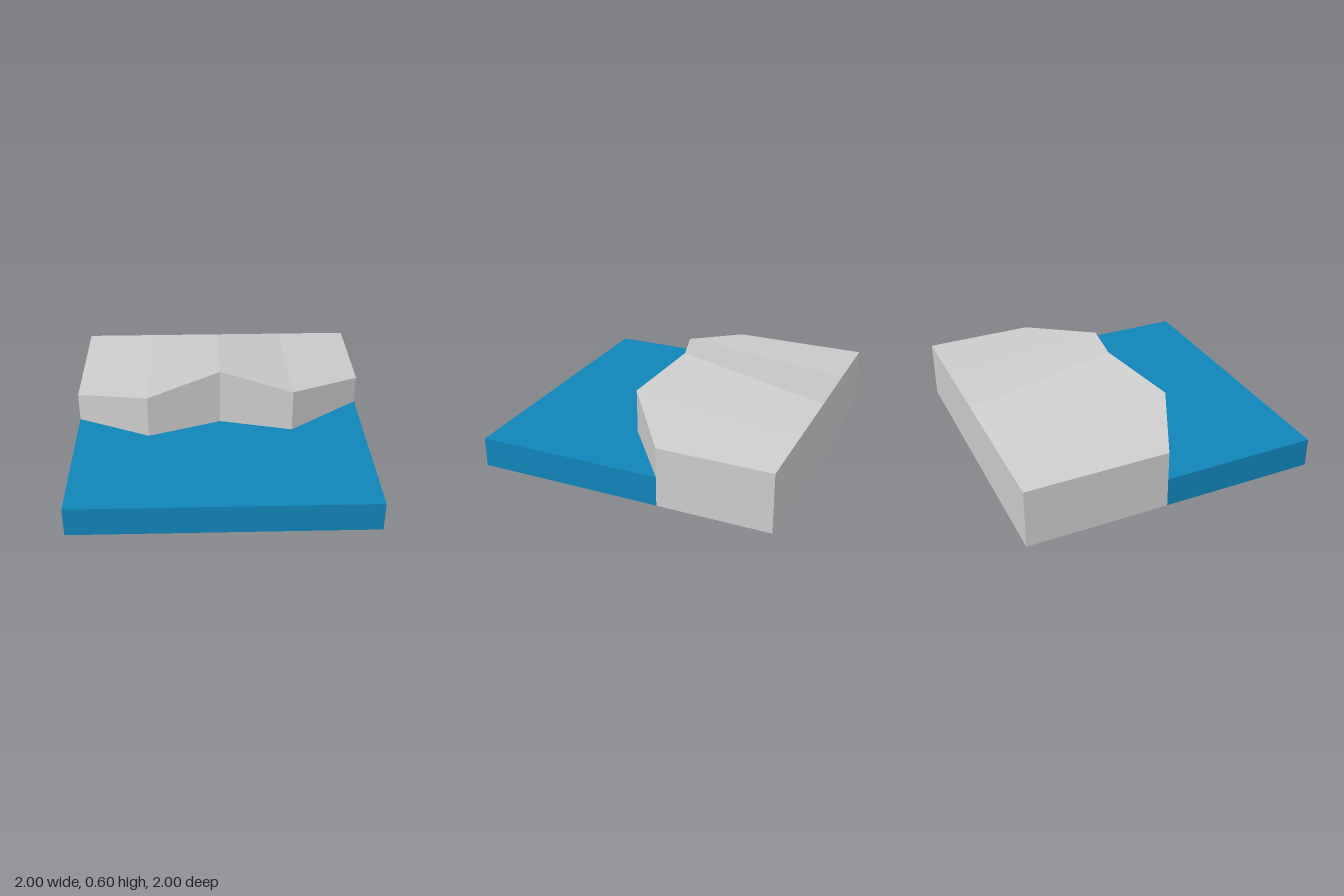
import * as THREE from 'three';

// Coastline sampled at x = -1, -0.5, 0, 0.5, 1
const coastZ = [-0.055, 0.18, 0, 0.125, -0.25];
const cliffY = [0.4, 0.5, 0.6, 0.5, 0.4];

// Four-strip box whose corners are moved by place(column, isFront, isTop) -> [y, z]
function slab(name, color, place) {
  const box = new THREE.BoxGeometry(2, 1, 1, 4, 1, 1);
  const p = box.attributes.position;
  for (let i = 0; i < p.count; i++) {
    const column = Math.round((p.getX(i) + 1) * 2);
    const [y, z] = place(column, p.getZ(i) > 0, p.getY(i) > 0);
    p.setY(i, y);
    p.setZ(i, z);
  }

  // One shared normal per quad, so each strip shades as a single facet
  const geometry = box.toNonIndexed();
  geometry.computeVertexNormals();
  const n = geometry.attributes.normal;
  const a = new THREE.Vector3();
  const b = new THREE.Vector3();
  for (let i = 0; i < n.count; i += 6) {
    a.fromBufferAttribute(n, i).add(b.fromBufferAttribute(n, i + 3)).normalize();
    for (let k = i; k < i + 6; k++) n.setXYZ(k, a.x, a.y, a.z);
  }

  const mesh = new THREE.Mesh(geometry, new THREE.MeshStandardMaterial({ color }));
  mesh.name = name;
  return mesh;
}

export function createModel() {
  const group = new THREE.Group();
  group.name = 'coast';

  // Land: level along the back, rising to a peaked cliff at the shore
  group.add(slab('land', 0xcccccc, (c, front, top) => [
    top ? (front ? cliffY[c] : 0.4) : 0,
    front ? coastZ[c] : -1,
  ]));

  // Sea: flat slab filling the front up to the shore
  group.add(slab('sea', 0x1084b8, (c, front, top) => [
    top ? 0.2 : 0,
    front ? 1 : coastZ[c],
  ]));

  return group;
}
